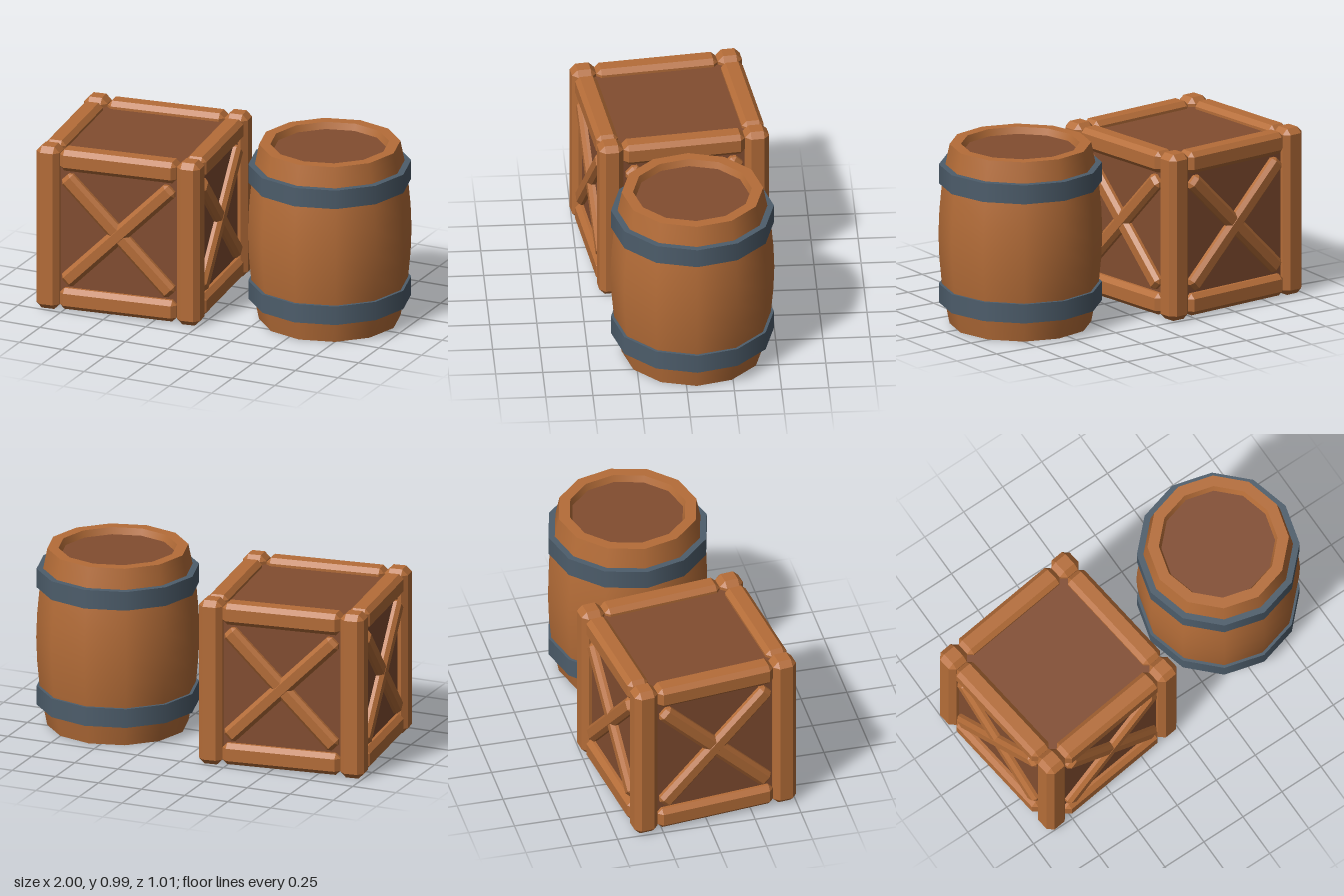
import * as THREE from 'three';
import { ConvexGeometry } from 'three/addons/geometries/ConvexGeometry.js';

// Box with every edge cut by a flat chamfer c
function chamferBox(w, h, d, c) {
  const points = [];
  for (const sx of [-1, 1]) for (const sy of [-1, 1]) for (const sz of [-1, 1]) {
    const x = w / 2, y = h / 2, z = d / 2;
    points.push(
      new THREE.Vector3(sx * x, sy * (y - c), sz * (z - c)),
      new THREE.Vector3(sx * (x - c), sy * y, sz * (z - c)),
      new THREE.Vector3(sx * (x - c), sy * (y - c), sz * z));
  }
  return new ConvexGeometry(points);
}

function add(parent, name, geometry, material, x = 0, y = 0, z = 0) {
  const mesh = new THREE.Mesh(geometry, material);
  mesh.name = name;
  mesh.position.set(x, y, z);
  parent.add(mesh);
  return mesh;
}

function material(name, color) {
  const m = new THREE.MeshStandardMaterial({ color });
  m.name = name;
  return m;
}

function createCrate(wood, panel) {
  const crate = new THREE.Group();
  crate.name = 'crate';
  const mid = 0.457, reach = 0.392;

  // Recessed panels
  add(crate, 'cratePanels', new THREE.BoxGeometry(0.82, 0.82, 0.82), panel, 0, mid, 0);

  const post = chamferBox(0.13, 0.914, 0.13, 0.03);
  const rail = chamferBox(0.652, 0.118, 0.118, 0.025);
  const brace = chamferBox(0.84, 0.088, 0.08, 0.02);

  // Each side carries one post, two rails and a crossed brace
  for (let i = 0; i < 4; i++) {
    const side = new THREE.Group();
    side.name = 'crateSide' + (i + 1);
    side.rotation.y = i * Math.PI / 2;
    add(side, 'cornerPost', post, wood, reach, mid, reach);
    add(side, 'lowerRail', rail, wood, 0, 0.067, reach);
    add(side, 'upperRail', rail, wood, 0, 0.847, reach);
    add(side, 'risingBrace', brace, wood, 0, mid, 0.41).rotation.z = Math.PI / 4;
    add(side, 'fallingBrace', brace, wood, 0, mid, 0.408).rotation.z = -Math.PI / 4;
    crate.add(side);
  }
  return crate;
}

function createBarrel(wood, panel, metal) {
  const barrel = new THREE.Group();
  barrel.name = 'barrel';
  const sides = 12;
  const lathe = (pts) => new THREE.LatheGeometry(pts.map(([r, y]) => new THREE.Vector2(r, y)), sides);

  // Bulging staves
  add(barrel, 'barrelBody', lathe([
    [0.375, 0], [0.397, 0.11], [0.416, 0.22], [0.429, 0.36], [0.434, 0.493],
    [0.429, 0.626], [0.416, 0.766], [0.397, 0.876], [0.375, 0.986],
  ]), wood);

  // Rim, its inner wall, the recessed lid and the base
  add(barrel, 'barrelRim', lathe([[0.375, 0.986], [0.315, 0.986]]), wood);
  add(barrel, 'barrelInnerWall', lathe([[0.315, 0.986], [0.302, 0.95]]), wood);
  const disc = (r) => new THREE.CircleGeometry(r, sides);
  add(barrel, 'barrelLid', disc(0.304), panel, 0, 0.95, 0).rotation.x = -Math.PI / 2;
  add(barrel, 'barrelBase', disc(0.375), wood).rotation.x = Math.PI / 2;

  // Metal hoops
  const hoop = new THREE.CylinderGeometry(0.432, 0.432, 0.104, sides);
  add(barrel, 'lowerHoop', hoop, metal, 0, 0.168, 0);
  add(barrel, 'upperHoop', hoop, metal, 0, 0.823, 0);
  return barrel;
}

export function createModel() {
  const wood = material('warm wood', 0xb56d38);
  const panel = material('dark wood', 0x824d30);
  const metal = material('blue steel', 0x4d5d6b);

  const model = new THREE.Group();
  model.name = 'crateAndBarrel';

  const crate = createCrate(wood, panel);
  crate.position.set(-0.5, 0, 0);
  crate.rotation.y = 0.122;

  const barrel = createBarrel(wood, panel, metal);
  barrel.position.set(0.563, 0, -0.055);

  model.add(crate, barrel);
  return model;
}
